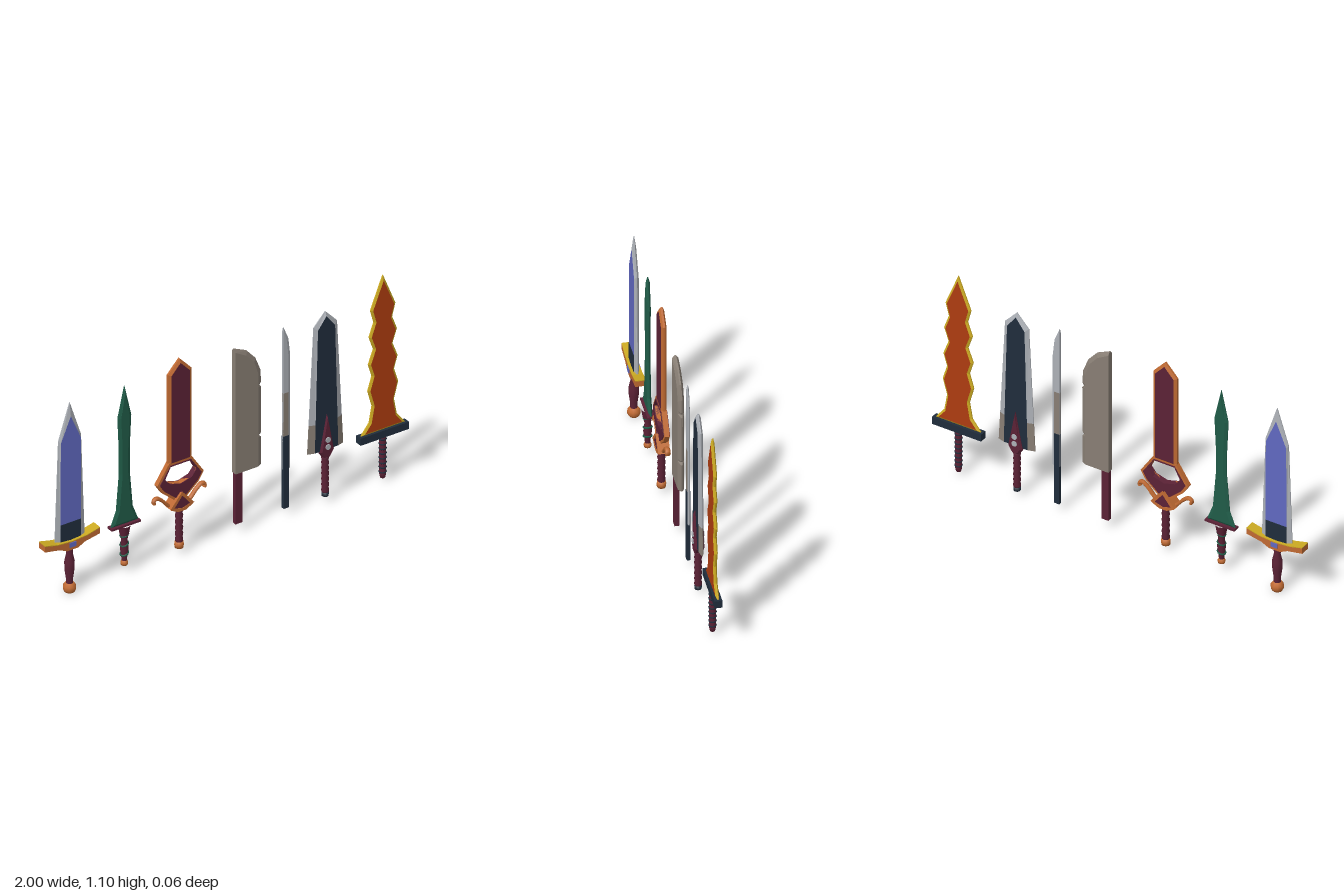
import * as THREE from 'three';

const mat = (name, color) => Object.assign(new THREE.MeshStandardMaterial({ color }), { name });

// right-hand points listed bottom to top -> closed, mirrored, counter-clockwise outline
const sym = (pts) => [...pts, ...pts.filter((p) => p[0] > 0).reverse().map(([x, y]) => [-x, y])];

// move a counter-clockwise outline inwards by d
function inset(pts, d) {
  const n = pts.length;
  const normal = (a, b) => {
    const l = Math.hypot(b[0] - a[0], b[1] - a[1]);
    return [-(b[1] - a[1]) / l, (b[0] - a[0]) / l];
  };
  return pts.map((p, i) => {
    const u = normal(pts[(i + n - 1) % n], p), v = normal(p, pts[(i + 1) % n]);
    const k = d / Math.max(0.2, 1 + u[0] * v[0] + u[1] * v[1]);
    return [p[0] + (u[0] + v[0]) * k, p[1] + (u[1] + v[1]) * k];
  });
}

// bevelled plate: thin outer edge rising to a flat core, front and back alike
function blade(name, outer, inner, zEdge, zCore, rimMat, coreMat) {
  const rim = [], core = [], n = outer.length;
  const tri = (list, a, b, c) => list.push(...a, ...b, ...c);
  for (let i = 0; i < n; i++) {
    const j = (i + 1) % n;
    for (const s of [1, -1]) {
      const a = [...outer[i], s * zEdge], b = [...outer[j], s * zEdge];
      const c = [...inner[j], s * zCore], d = [...inner[i], s * zCore];
      if (s > 0) { tri(rim, a, b, c); tri(rim, a, c, d); }
      else { tri(rim, c, b, a); tri(rim, d, c, a); }
    }
    const a = [...outer[i], -zEdge], b = [...outer[j], -zEdge];
    const c = [...outer[j], zEdge], d = [...outer[i], zEdge];
    tri(rim, a, b, c); tri(rim, a, c, d);
  }
  const flat = inner.map((p) => new THREE.Vector2(...p));
  for (const [a, b, c] of THREE.ShapeUtils.triangulateShape(flat, [])) {
    tri(core, [...inner[a], zCore], [...inner[b], zCore], [...inner[c], zCore]);
    tri(core, [...inner[c], -zCore], [...inner[b], -zCore], [...inner[a], -zCore]);
  }
  const g = new THREE.BufferGeometry();
  g.setAttribute('position', new THREE.Float32BufferAttribute([...rim, ...core], 3));
  g.addGroup(0, rim.length / 3, 0);
  g.addGroup(rim.length / 3, core.length / 3, 1);
  g.computeVertexNormals();
  const m = new THREE.Mesh(g, [rimMat, coreMat]);
  m.name = name;
  return m;
}

function mesh(name, geo, material, x = 0, y = 0, z = 0) {
  const m = new THREE.Mesh(geo, material);
  m.name = name;
  m.position.set(x, y, z);
  return m;
}

// flat outline extruded evenly to both sides of z = 0
function slab(name, pts, depth, material, hole) {
  const v = (list) => list.map((p) => new THREE.Vector2(...p));
  const shape = new THREE.Shape(v(pts));
  if (hole) shape.holes.push(new THREE.Path(v(hole)));
  const g = new THREE.ExtrudeGeometry(shape, { depth, bevelEnabled: false });
  return mesh(name, g.translate(0, 0, -depth / 2), material);
}

const box = (name, w, h, d, material, x, y) => mesh(name, new THREE.BoxGeometry(w, h, d), material, x, y);

// faceted turned part, profile of [radius, y] from bottom to top
const turned = (name, pts, material) =>
  mesh(name, new THREE.LatheGeometry(pts.map((p) => new THREE.Vector2(...p)), 10).toNonIndexed(), material);

// grip with evenly spaced swellings
function ridged(name, y0, y1, r, count, material) {
  const pts = [[0, y0]], h = (y1 - y0) / count;
  for (let i = 0; i < count; i++) pts.push([r * 0.8, y0 + i * h], [r, y0 + (i + 0.5) * h]);
  return turned(name, [...pts, [r * 0.8, y1], [0, y1]], material);
}

export function createModel() {
  const blue = mat('blue', 0x6068c0), silver = mat('silver', 0xacb0b6), navy = mat('navy', 0x202d3c);
  const maroon = mat('maroon', 0x5c2236), orange = mat('copper orange', 0xc06a32), gold = mat('gold', 0xccaa22);
  const green = mat('green', 0x205c48), stone = mat('stone grey', 0x887e74), flame = mat('flame red', 0xae3c10);

  const root = new THREE.Group();
  const sword = (name, x, ...parts) => {
    const g = new THREE.Group();
    g.name = name;
    g.position.x = x;
    g.add(...parts);
    root.add(g);
  };

  // broad blue sword
  const guardTop = [[0, 0.277], [0.08, 0.283], [0.15, 0.3]];
  sword('blueSword', -0.85,
    blade('blueBlade', sym([[0.082, 0.27], [0.062, 0.82], [0, 1.01]]),
      sym([[0.056, 0.27], [0.055, 0.81], [0, 0.94]]), 0.002, 0.011, silver, blue),
    slab('bladeRoot', sym([[0.056, 0.27], [0.056, 0.375]]), 0.025, navy),
    slab('guard', sym([[0.03, 0.235], [0.07, 0.255], [0.15, 0.27], ...guardTop.slice().reverse()]), 0.05, orange),
    slab('guardTop', sym([...guardTop, [0.15, 0.304], [0.08, 0.287], [0, 0.281]]), 0.051, gold),
    box('guardGem', 0.036, 0.024, 0.058, blue, 0, 0.263),
    turned('grip', [[0.017, 0.04], [0.017, 0.07], [0.024, 0.12], [0.025, 0.16], [0.016, 0.2], [0.018, 0.245]], maroon),
    turned('pommel', [[0, 0], [0.024, 0.001], [0.031, 0.015], [0.031, 0.032], [0.02, 0.047], [0, 0.05]], orange));

  // slender green sword
  const leaf = sym([[0.076, 0.258], [0.045, 0.34], [0.029, 0.53], [0.029, 0.66], [0.037, 0.83], [0, 0.995]]);
  const wraps = [0.1, 0.15, 0.2].map((y) => {
    const t = mesh('gripWrap', new THREE.TorusGeometry(0.019, 0.005, 5, 10), green, 0, y);
    t.rotation.set(Math.PI / 2, 0.35, 0);
    return t;
  });
  sword('greenSword', -0.55,
    blade('greenBlade', leaf, inset(leaf, 0.014), 0.002, 0.01, green, green),
    slab('guard', sym([[0.08, 0.25], [0.08, 0.26]]), 0.036, maroon),
    turned('grip', [[0.012, 0.05], [0.014, 0.08], [0.021, 0.13], [0.015, 0.175], [0.024, 0.215], [0.03, 0.252]], maroon),
    turned('pommel', [[0, 0.038], [0.016, 0.04], [0.019, 0.052], [0.012, 0.066], [0, 0.068]], orange),
    ...wraps);

  // copper-rimmed sword with an open ring at the blade root
  const broad = sym([[0.064, 0.485], [0.064, 0.97], [0, 1.04]]);
  const ring = sym([[0.02, 0.285], [0.1, 0.355], [0.128, 0.4], [0.062, 0.5]]);
  const hole = sym([[0, 0.375], [0.06, 0.392], [0.086, 0.425], [0.056, 0.483]]);
  const arms = [1, -1].map((s) => {
    const path = new THREE.CatmullRomCurve3([[0.01, 0.255], [0.055, 0.268], [0.095, 0.31], [0.125, 0.33], [0.141, 0.32], [0.137, 0.306]]
      .map(([x, y]) => new THREE.Vector3(s * x, y, 0)));
    const arm = mesh('guardArm', new THREE.TubeGeometry(path, 18, 0.009, 6), orange);
    arm.scale.z = 1.5;
    return arm;
  });
  sword('ringSword', -0.25,
    blade('ringBlade', broad, inset(broad, 0.014), 0.005, 0.013, orange, maroon),
    slab('ringRim', ring, 0.024, orange, hole),
    slab('ring', inset(ring, 0.012), 0.032, maroon, hole),
    slab('guardHub', sym([[0.02, 0.24], [0.055, 0.262], [0.025, 0.3], [0, 0.34]]), 0.05, maroon),
    slab('guardChevron', sym([[0, 0.318], [0.05, 0.255], [0.065, 0.262], [0.025, 0.31], [0, 0.338]]), 0.056, orange),
    slab('guardKeel', sym([[0.02, 0.236], [0.06, 0.256], [0.05, 0.264], [0, 0.25]]), 0.054, orange),
    ...arms,
    ridged('grip', 0.055, 0.245, 0.02, 6, maroon),
    turned('pommel', [[0, 0.028], [0.021, 0.03], [0.023, 0.045], [0.02, 0.062], [0, 0.063]], orange));

  // notched cleaver
  const chop = [[0.05, 0.32], [0.195, 0.32], [0.196, 0.468], [0.186, 0.48], [0.196, 0.49], [0.197, 0.735],
    [0.187, 0.748], [0.197, 0.762], [0.192, 0.83], [0.165, 0.9], [0.12, 0.952], [0.05, 0.985]];
  const chopCore = chop.map(([x, y]) => x < 0.06 ? [x, y > 0.5 ? y - 0.015 : y]
    : [Math.min(x - 0.012, 0.175), y > 0.8 ? y - 0.016 : y]);
  sword('cleaver', 0,
    blade('cleaverBlade', chop, chopCore, 0.004, 0.015, stone, stone),
    box('handle', 0.038, 0.275, 0.022, maroon, 0.071, 0.1875));

  // narrow single-edged sword
  const thin = [[0.318, 0.245], [0.358, 0.245], [0.358, 0.85], [0.348, 0.94], [0.32, 1.01], [0.318, 0.98]];
  const thinCore = [[0.318, 0.245], [0.345, 0.245], [0.345, 0.85], [0.337, 0.93], [0.32, 0.99], [0.318, 0.98]];
  sword('narrowSword', 0,
    blade('narrowBlade', thin, thinCore, 0.001, 0.006, silver, silver),
    box('wornPatch', 0.028, 0.23, 0.0135, stone, 0.332, 0.54),
    box('handle', 0.028, 0.385, 0.017, navy, 0.332, 0.2325));

  // wide navy sword with riveted spike
  const rivets = [0.3, 0.338].map((y) => {
    const c = mesh('rivet', new THREE.CylinderGeometry(0.014, 0.014, 0.056, 10), silver, 0, y);
    c.rotation.x = Math.PI / 2;
    return c;
  });
  const spike = sym([[0.016, 0.24], [0.038, 0.275], [0, 0.47]]);
  sword('wideSword', 0.55,
    blade('upperBlade', sym([[0.09, 0.43], [0.064, 0.945], [0, 1.015]]),
      sym([[0.06, 0.43], [0.047, 0.93], [0, 0.993]]), 0.002, 0.012, silver, navy),
    blade('lowerBlade', sym([[0.098, 0.28], [0.09, 0.43]]),
      sym([[0.064, 0.28], [0.06, 0.43]]), 0.002, 0.012, stone, navy),
    blade('spike', spike, inset(spike, 0.008), 0.015, 0.023, maroon, maroon),
    ...rivets,
    ridged('grip', 0.045, 0.25, 0.019, 7, maroon),
    turned('pommel', [[0, 0.028], [0.017, 0.03], [0.018, 0.05], [0, 0.051]], navy));

  // wavy flame sword
  const wave = sym([[0.122, 0.275], [0.075, 0.335], [0.06, 0.42], [0.083, 0.505], [0.06, 0.58], [0.08, 0.645],
    [0.052, 0.72], [0.076, 0.79], [0.05, 0.862], [0.068, 0.93], [0, 1.1]]);
  const bands = Array.from({ length: 8 }, (_, i) => {
    const t = mesh('gripBand', new THREE.TorusGeometry(0.015, 0.005, 5, 10), navy, 0, 0.05 + i * 0.025);
    t.rotation.x = Math.PI / 2;
    return t;
  });
  sword('flameSword', 0.865,
    blade('flameBlade', wave, inset(wave, 0.01), 0.003, 0.009, gold, flame),
    box('guard', 0.265, 0.038, 0.036, navy, 0, 0.258),
    turned('grip', [[0, 0.015], [0.012, 0.018], [0.017, 0.04], [0.017, 0.242]], maroon),
    ...bands);

  return root;
}
